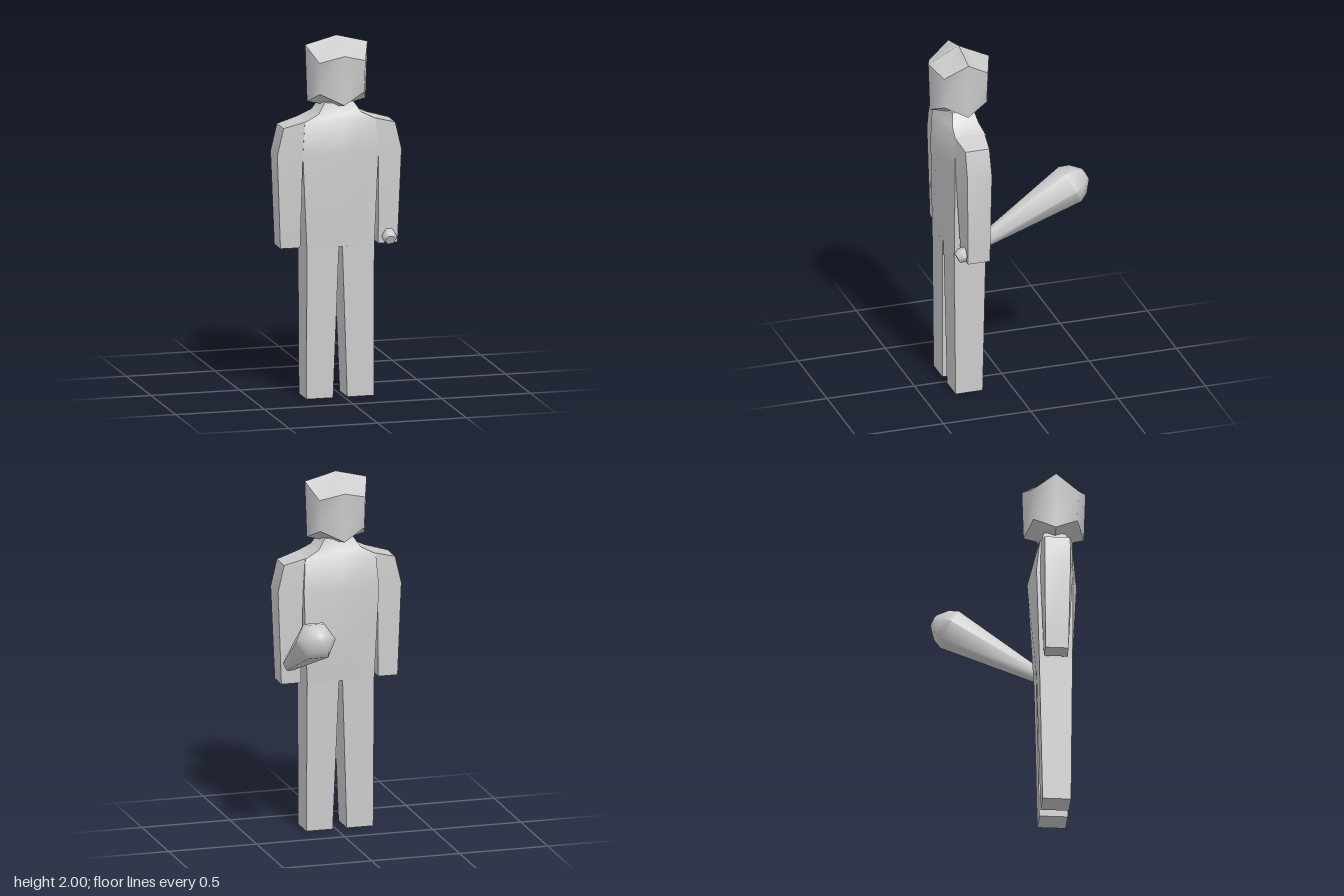
import * as THREE from 'three';
import { toCreasedNormals } from 'three/addons/utils/BufferGeometryUtils.js';

const gray = new THREE.MeshStandardMaterial({ color: 0xcccccc });
gray.name = 'plain gray';

// Skin a stack of equal-length loops (anticlockwise from above), closed at both ends
function loft(loops, crease = 0.6, low = null, high = null) {
  const pos = [];
  const tri = (a, b, c) => pos.push(...a, ...b, ...c);
  const n = loops[0].length;
  const middle = loop => [0, 1, 2].map(k => loop.reduce((s, p) => s + p[k], 0) / n);
  const first = loops[0], last = loops[loops.length - 1];
  const lo = low || middle(first), hi = high || middle(last);
  for (let i = 0; i < n; i++) {
    const j = (i + 1) % n;
    for (let s = 0; s + 1 < loops.length; s++) {
      const a = loops[s], b = loops[s + 1];
      tri(a[i], a[j], b[j]);
      tri(a[i], b[j], b[i]);
    }
    tri(first[j], first[i], lo);
    tri(last[i], last[j], hi);
  }
  const g = new THREE.BufferGeometry();
  g.setAttribute('position', new THREE.Float32BufferAttribute(pos, 3));
  return toCreasedNormals(g, crease);
}

const mirror = loops => loops.map(l => l.map(([x, y, z]) => [-x, y, z]).reverse());

// Four-cornered limb section: inner and outer edges as [x, y, front z, back z]
const section = (i, o) => [
  [i[0], i[1], i[2]], [o[0], o[1], o[2]], [o[0], o[1], o[3]], [i[0], i[1], i[3]],
];

export function createModel() {
  const model = new THREE.Group();
  model.name = 'figureWithBat';
  const figure = new THREE.Group();
  figure.name = 'figure';
  figure.position.set(-0.022, 0, 0.24);
  model.add(figure);
  const add = (name, geometry) => {
    const mesh = new THREE.Mesh(geometry, gray);
    mesh.name = name;
    figure.add(mesh);
    return mesh;
  };

  // Torso and neck: y, half width, edge front/back, centre front/back, centre y
  const torso = [
    [0.84, 0.19, 0.088, -0.093, 0.09, -0.095, 0.84],
    [1.36, 0.213, 0.09, -0.11, 0.125, -0.145, 1.36],
    [1.54, 0.2, 0.085, -0.09, 0.105, -0.1, 1.55],
    [1.58, 0.12, 0.075, -0.075, 0.085, -0.08, 1.575],
    [1.64, 0.08, 0.06, -0.06, 0.065, -0.06, 1.63],
  ].map(([y, w, f, b, cf, cb, cy]) => [
    [-w, y, f], [0, cy, cf], [w, y, f], [w, y, b], [0, cy, cb], [-w, y, b],
  ]);
  add('torso', loft(torso, 0.7));

  // Arms and legs, mirrored
  const arm = [
    section([0.22, 0.84, 0.06, -0.07], [0.33, 0.84, 0.055, -0.07]),
    section([0.213, 1.34, 0.088, -0.09], [0.35, 1.36, 0.065, -0.075]),
    section([0.19, 1.545, 0.085, -0.085], [0.315, 1.51, 0.065, -0.072]),
  ];
  const leg = [
    section([0.04, 0, 0.08, -0.075], [0.19, 0, 0.08, -0.075]),
    section([0.01, 0.84, 0.09, -0.095], [0.19, 0.84, 0.088, -0.093]),
  ];
  add('leftArm', loft(arm));
  add('rightArm', loft(mirror(arm)));
  add('leftLeg', loft(leg));
  add('rightLeg', loft(mirror(leg)));

  // Head: eight-sided, with the diagonal corners pulled towards the middle
  const lower = [], upper = [];
  for (let k = 0; k < 8; k++) {
    const sx = Math.sign(Math.round(Math.sin(k * Math.PI / 4) * 10));
    const sz = Math.sign(Math.round(Math.cos(k * Math.PI / 4) * 10));
    if (k % 2) {
      lower.push([sx * 0.125, 1.7, sz * 0.12]);
      upper.push([sx * 0.13, 1.875, sz * 0.126]);
    } else {
      lower.push([sx * 0.165, 1.64, sz * 0.165]);
      upper.push([sx * 0.176, sx ? 1.955 : 1.915, sz * 0.174]);
    }
  }
  add('head', loft([lower, upper], 0.9, [0, 1.6, 0], [0, 2, 0]));

  // Six-sided bat, held in the left hand and pointing up and back
  const profile = [
    [0, 0], [0.03, 0], [0.043, 0.03], [0.034, 0.06], [0.041, 0.19],
    [0.113, 0.733], [0.09, 0.786], [0.035, 0.835], [0, 0.838],
  ].map(([r, t]) => new THREE.Vector2(r, t));
  const bat = add('bat', toCreasedNormals(new THREE.LatheGeometry(profile, 6, Math.PI / 2), 1.1));
  bat.rotation.x = -1.075;
  bat.position.set(0.279, 0.862, 0.1);

  return model;
}
